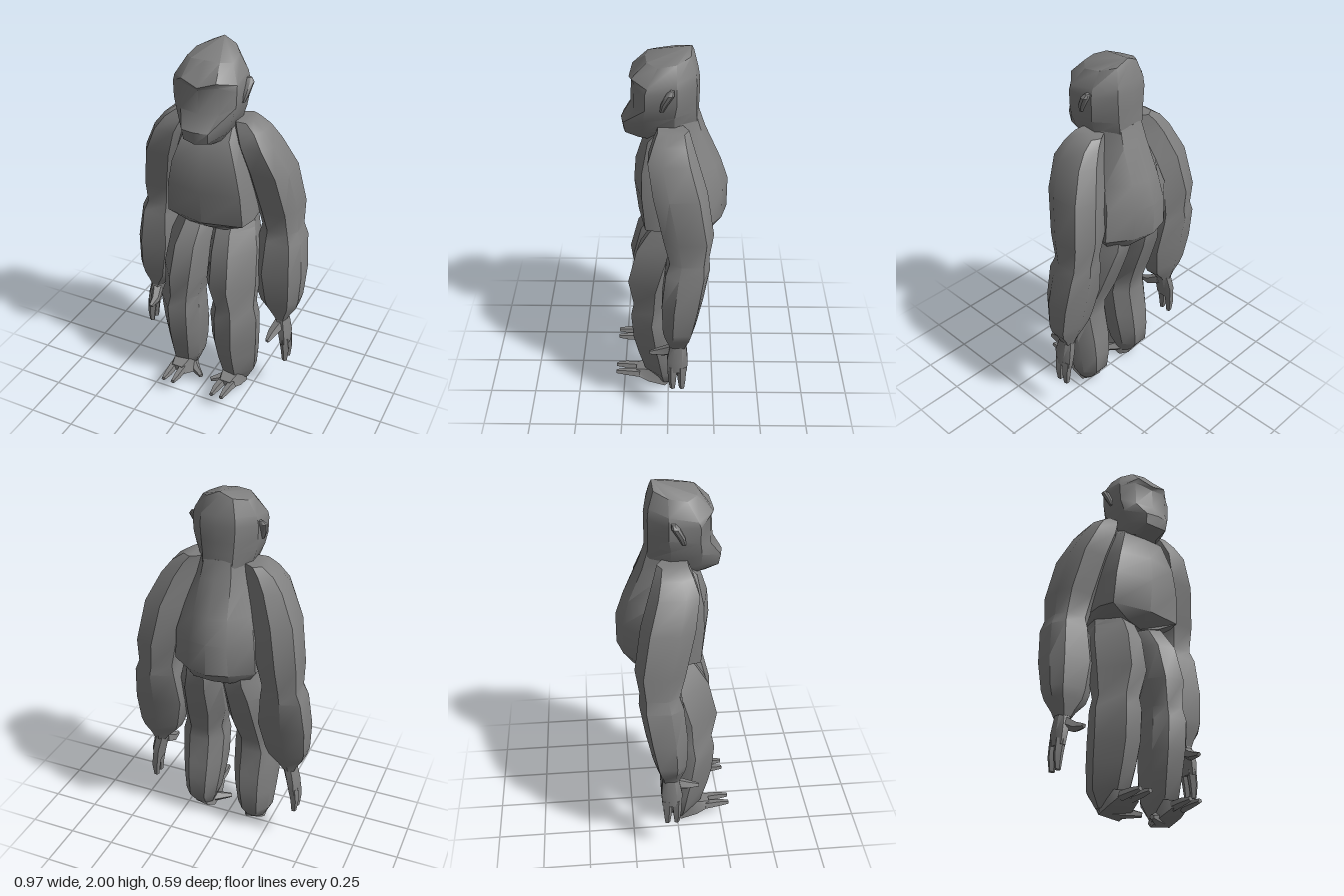
import * as THREE from 'three';
import { toCreasedNormals } from 'three/addons/utils/BufferGeometryUtils.js';

const fur = new THREE.MeshStandardMaterial({ color: 0x808080 });
fur.name = 'grey fur';

// Skin a stack of equal-length rings and close both ends. side = -1 mirrors across x.
function loft(name, rings, side = 1, apex = null) {
  const pos = [];
  const R = rings.map(r => {
    const pts = r.map(p => new THREE.Vector3(p[0] * side, p[1], p[2]));
    return side < 0 ? pts.reverse() : pts;
  });
  const tri = (...v) => v.forEach(p => pos.push(p.x, p.y, p.z));
  const mid = r => r.reduce((s, p) => s.add(p), new THREE.Vector3()).divideScalar(r.length);
  const n = R[0].length, top = R[R.length - 1];
  const low = mid(R[0]), high = apex ? new THREE.Vector3(...apex) : mid(top);
  for (let i = 0; i < n; i++) {
    const j = (i + 1) % n;
    for (let k = 0; k < R.length - 1; k++) {
      const a = R[k], b = R[k + 1];
      tri(a[i], a[j], b[j]);
      tri(a[i], b[j], b[i]);
    }
    tri(low, R[0][j], R[0][i]);
    tri(high, top[i], top[j]);
  }
  const g = new THREE.BufferGeometry();
  g.setAttribute('position', new THREE.Float32BufferAttribute(pos, 3));
  const mesh = new THREE.Mesh(toCreasedNormals(g, 0.65), fur);
  mesh.name = name;
  return mesh;
}

// Full ring from a half outline running front centre -> side -> back centre
const mirrored = half => [...half, ...half.slice(1, -1).reverse().map(([x, y, z]) => [-x, y, z])];

// Limb cross-sections in -1..1: plain octagon, arm with a rear ridge, leg with a front ridge
const OCT = [[0.5, 1], [1, 0.45], [1, -0.45], [0.5, -1], [-0.5, -1], [-1, -0.45], [-1, 0.45], [-0.5, 1]];
const ARM = [[0.65, 1], [1, 0.4], [0.95, -0.7], [0.1, -1], [-0.9, -0.6], [-1, 0.35], [-0.45, 1]];
const LEG = [[0.2, 1], [1, 0.1], [0.9, -0.5], [0.4, -1], [-0.5, -1], [-1, -0.45], [-1, 0.4], [-0.6, 0.9]];

// Limb whose rows go upward as [y, xMin, xMax, zMin, zMax]
const limb = (name, section, rows, side) => loft(name, rows.map(([y, x0, x1, z0, z1]) =>
  section.map(([u, v]) => [(x0 + x1) / 2 + u * (x1 - x0) / 2, y, (z0 + z1) / 2 + v * (z1 - z0) / 2])), side);

// Tapered five-sided digit through points [x, y, z, radius]
function digit(name, pts, side) {
  const first = new THREE.Vector3(...pts[0].slice(0, 3));
  const last = new THREE.Vector3(...pts[pts.length - 1].slice(0, 3));
  const q = new THREE.Quaternion().setFromUnitVectors(new THREE.Vector3(0, 1, 0), last.sub(first).normalize());
  return loft(name, pts.map(([x, y, z, r]) => Array.from({ length: 5 }, (_, i) => {
    const t = i * Math.PI * 2 / 5;
    const v = new THREE.Vector3(Math.sin(t) * r, 0, Math.cos(t) * r).applyQuaternion(q);
    return [x + v.x, y + v.y, z + v.z];
  })), side);
}

export function createModel() {
  const model = new THREE.Group();
  model.name = 'ape';

  // Barrel chest with a humped back running up into the neck
  model.add(loft('torso', [
    [[0, 1.02, 0.07], [0.1, 1.04, 0.09], [0.18, 1.06, 0], [0.18, 1.04, -0.15], [0.1, 1.04, -0.22], [0, 1.03, -0.22]],
    [[0, 1.09, 0.155], [0.21, 1.095, 0.115], [0.235, 1.1, 0.03], [0.22, 1.1, -0.18], [0.11, 1.11, -0.27], [0, 1.11, -0.3]],
    [[0, 1.27, 0.175], [0.2, 1.27, 0.13], [0.225, 1.27, 0.04], [0.21, 1.27, -0.18], [0.1, 1.27, -0.27], [0, 1.28, -0.3]],
    [[0, 1.4, 0.165], [0.175, 1.4, 0.13], [0.2, 1.4, 0.04], [0.18, 1.4, -0.14], [0.09, 1.4, -0.235], [0, 1.4, -0.26]],
    [[0, 1.54, 0.12], [0.125, 1.55, 0.1], [0.16, 1.55, 0.04], [0.14, 1.55, -0.08], [0.08, 1.57, -0.165], [0, 1.58, -0.18]],
    [[0, 1.62, 0.03], [0.08, 1.63, 0.02], [0.11, 1.65, 0], [0.12, 1.66, -0.05], [0.07, 1.67, -0.135], [0, 1.67, -0.15]],
  ].map(mirrored)));

  // Head with muzzle, sunken face, brow and rear crest
  model.add(loft('head', [
    [[0, 1.535, 0.15], [0.05, 1.54, 0.145], [0.085, 1.55, 0.1], [0.11, 1.57, -0.03], [0.07, 1.57, -0.13], [0, 1.57, -0.15]],
    [[0, 1.565, 0.222], [0.065, 1.575, 0.21], [0.115, 1.6, 0.12], [0.135, 1.62, -0.03], [0.075, 1.62, -0.14], [0, 1.62, -0.15]],
    [[0, 1.63, 0.232], [0.07, 1.63, 0.22], [0.145, 1.67, 0.12], [0.16, 1.7, -0.03], [0.08, 1.7, -0.135], [0, 1.7, -0.148]],
    [[0, 1.71, 0.185], [0.1, 1.71, 0.165], [0.165, 1.74, 0.11], [0.168, 1.76, -0.04], [0.085, 1.76, -0.135], [0, 1.76, -0.15]],
    [[0, 1.825, 0.178], [0.1, 1.845, 0.16], [0.168, 1.82, 0.11], [0.17, 1.83, -0.04], [0.09, 1.84, -0.135], [0, 1.84, -0.15]],
    [[0, 1.84, 0.19], [0.09, 1.87, 0.175], [0.165, 1.85, 0.1], [0.16, 1.875, -0.04], [0.085, 1.89, -0.13], [0, 1.89, -0.142]],
    [[0, 1.95, 0.11], [0.075, 1.945, 0.1], [0.12, 1.935, 0.05], [0.115, 1.95, -0.04], [0.065, 1.97, -0.105], [0, 1.98, -0.12]],
  ].map(mirrored), 1, [0, 2, -0.11]));

  for (const side of [1, -1]) {
    const s = side > 0 ? 'left' : 'right';

    // Ear
    model.add(limb(s + 'Ear', OCT, [
      [1.74, 0.15, 0.175, 0.02, 0.04], [1.78, 0.15, 0.19, 0, 0.035],
      [1.83, 0.15, 0.2, -0.03, 0.01], [1.85, 0.15, 0.185, -0.03, -0.01],
    ], side));

    // Long heavy arm
    model.add(limb(s + 'Arm', ARM, [
      [0.48, 0.345, 0.415, -0.1, -0.01], [0.515, 0.32, 0.43, -0.11, 0], [0.57, 0.265, 0.465, -0.13, 0.015],
      [0.62, 0.245, 0.478, -0.145, 0.025], [0.78, 0.21, 0.485, -0.18, 0.03], [0.97, 0.23, 0.465, -0.21, 0.01],
      [1.03, 0.24, 0.44, -0.205, -0.01], [1.16, 0.21, 0.44, -0.225, 0.02], [1.38, 0.165, 0.4, -0.19, 0.07],
      [1.53, 0.13, 0.325, -0.14, 0.095], [1.6, 0.11, 0.27, -0.115, 0.07], [1.64, 0.11, 0.21, -0.1, 0.05],
    ], side));

    // Hand with two thick fingers and a thumb
    model.add(limb(s + 'Palm', OCT, [
      [0.33, 0.385, 0.435, -0.1, 0], [0.4, 0.37, 0.435, -0.105, 0.005], [0.5, 0.345, 0.415, -0.095, -0.015],
    ], side));
    for (const z of [-0.025, -0.075]) {
      model.add(digit(s + 'Finger', [[0.41, 0.36, z, 0.028], [0.42, 0.28, z, 0.024], [0.42, 0.21, z, 0.015]], side));
    }
    model.add(digit(s + 'Thumb', [[0.38, 0.45, -0.03, 0.034], [0.36, 0.415, 0.035, 0.026], [0.358, 0.405, 0.095, 0.012]], side));

    // Bent leg: thigh slants forward to the knee
    model.add(limb(s + 'Leg', LEG, [
      [0.05, 0.1, 0.22, -0.03, 0.07], [0.13, 0.07, 0.26, -0.085, 0.13], [0.25, 0.05, 0.272, -0.09, 0.165],
      [0.36, 0.038, 0.28, -0.08, 0.19], [0.52, 0.035, 0.288, -0.05, 0.2], [0.59, 0.045, 0.265, -0.055, 0.185],
      [0.73, 0.008, 0.27, -0.11, 0.212], [0.92, 0.004, 0.25, -0.175, 0.165], [1.02, 0.004, 0.215, -0.2, 0.1],
      [1.08, 0.02, 0.2, -0.2, 0.05],
    ], side));

    // Foot: wedge rising from heel to toes
    model.add(loft(s + 'Foot', [
      [0.12, 0.19, 0.035, 0.1, -0.03], [0.095, 0.215, 0.005, 0.12, 0.02],
      [0.085, 0.215, 0.035, 0.125, 0.11], [0.1, 0.2, 0.068, 0.11, 0.18],
    ].map(([x0, x1, y0, y1, z]) => [[x0, y0, z], [x1, y0 + 0.015, z], [x1 - 0.02, y1, z], [x0 + 0.02, y1, z]]), side));
    for (const x of [0.12, 0.178]) {
      model.add(digit(s + 'Toe', [[x + 0.005, 0.085, 0.16, 0.026], [x, 0.09, 0.24, 0.021], [x, 0.092, 0.293, 0.012]], side));
    }
    model.add(digit(s + 'BigToe', [[0.14, 0.048, 0.03, 0.04], [0.08, 0.035, 0.08, 0.025], [0.03, 0.028, 0.115, 0.013]], side));
  }
  return model;
}
